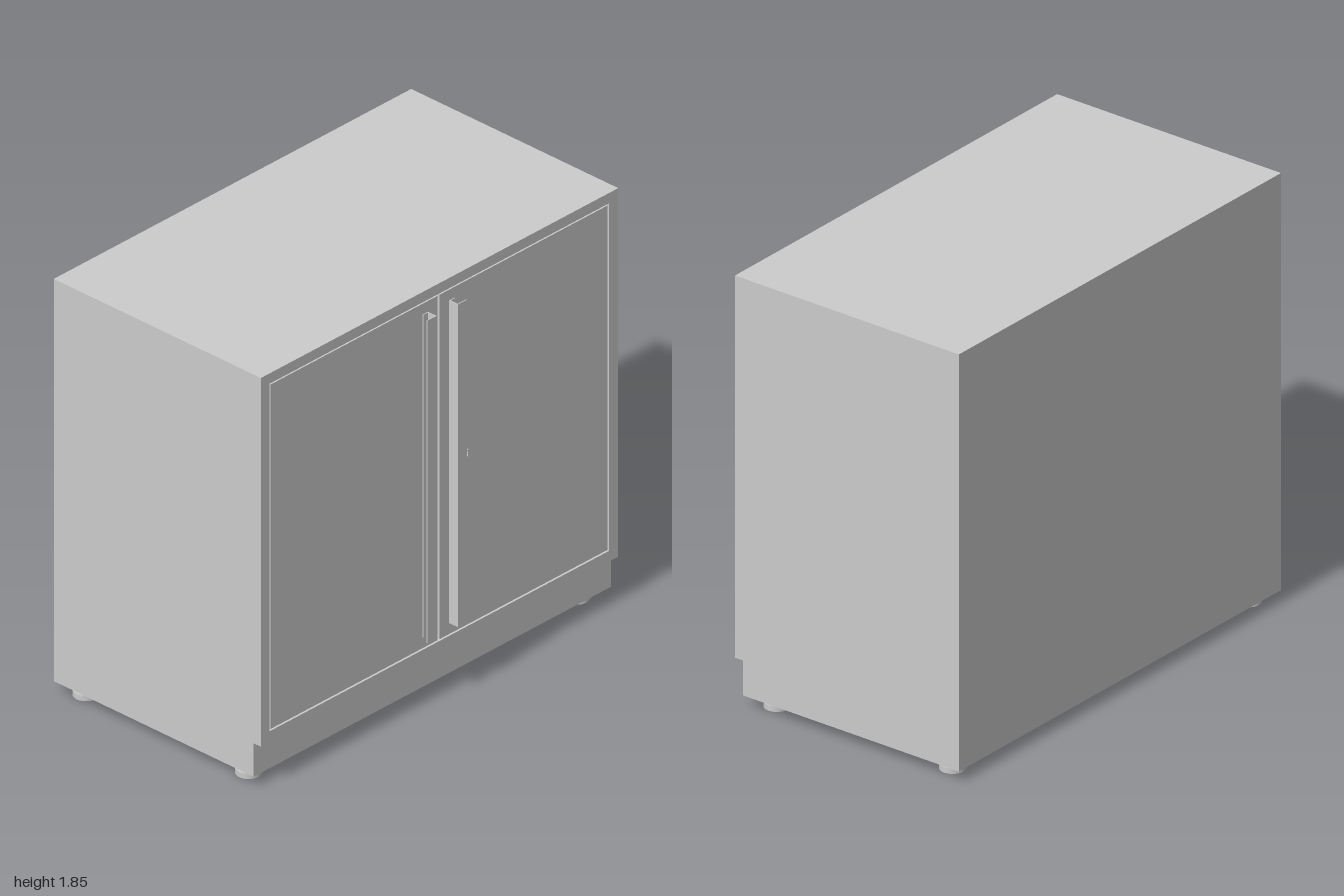
import * as THREE from 'three';

export function createModel() {
  const root = new THREE.Group();
  const mat = new THREE.MeshStandardMaterial({ color: 0xcccccc });
  const add = (name, geo, parent = root) => {
    const mesh = new THREE.Mesh(geo, mat);
    mesh.name = name;
    parent.add(mesh);
    return mesh;
  };
  // Box given by its limits on each axis
  const box = (name, [x0, x1], [y0, y1], [z0, z1], parent) => {
    const geo = new THREE.BoxGeometry(x1 - x0, y1 - y0, z1 - z0);
    geo.translate((x0 + x1) / 2, (y0 + y1) / 2, (z0 + z1) / 2);
    return add(name, geo, parent);
  };
  const polygon = (pts) => new THREE.Shape(pts.map(([x, y]) => new THREE.Vector2(x, y)));
  const extrude = (shape, depth) => new THREE.ExtrudeGeometry(shape, { depth, bevelEnabled: false });

  const H = 1.845, BASE = 0.05, STEP = 0.2, T = 0.02;
  const BACK = -0.573, FRONT = 0.527, TOE = 0.488, IN = FRONT - T;

  // Side panels, stepped back at the plinth (profile drawn in -z, y)
  for (const s of [-1, 1]) {
    const geo = extrude(polygon([
      [-BACK, BASE], [-BACK, H], [-IN, H], [-IN, STEP], [-TOE, STEP], [-TOE, BASE],
    ]), T);
    geo.rotateY(Math.PI / 2);
    geo.translate(s > 0 ? 1 - T : -1, 0, 0);
    add(s > 0 ? 'leftSide' : 'rightSide', geo);
  }

  // Remaining cabinet panels
  const inner = [-1 + T, 1 - T];
  box('topPanel', inner, [H - T, H], [BACK, IN]);
  box('backPanel', inner, [BASE + T, H - T], [BACK, BACK + T]);
  box('bottomPanel', inner, [BASE, BASE + T], [BACK, TOE]);
  box('plinth', inner, [BASE + T, STEP], [TOE - T, TOE]);
  box('cabinetFloor', inner, [STEP, STEP + T], [BACK + T, IN]);

  // Front frame around the door opening
  const frame = polygon([[-1, STEP], [1, STEP], [1, H], [-1, H]]);
  frame.holes.push(polygon([[-0.952, 0.248], [-0.952, 1.799], [0.947, 1.799], [0.947, 0.248]]));
  const frameGeo = extrude(frame, T);
  frameGeo.translate(0, 0, IN);
  add('frontFrame', frameGeo);

  // Doors, set into the frame with narrow gaps
  const doorY = [0.256, 1.793], doorZ = [IN - T, FRONT];
  box('rightDoor', [-0.946, -0.011], doorY, doorZ);
  box('leftDoor', [0.001, 0.941], doorY, doorZ);

  // Bent sheet handles: mounting flange, web and wider grip flange
  const handle = (name, x, dir) => {
    const t = 0.004, d = 0.046;
    const pts = [
      [0, 0], [0.03, 0], [0.03, t], [t, t], [t, d - t], [0.052, d - t], [0.052, d], [0, d],
    ].map(([u, v]) => [x + dir * u, -FRONT - v]);
    const geo = extrude(polygon(pts), 1.44);
    geo.rotateX(-Math.PI / 2);
    geo.translate(0, 0.305, 0);
    add(name, geo);
  };
  handle('rightHandle', -0.065, -1);
  handle('leftHandle', 0.054, 1);

  // Round lock with a recessed key slot
  const lock = new THREE.Group();
  lock.name = 'lock';
  lock.position.set(0.147, 1.025, FRONT);
  root.add(lock);
  const disc = new THREE.Shape().absarc(0, 0, 0.018, 0, Math.PI * 2);
  disc.holes.push(polygon([[-0.003, -0.011], [-0.003, 0.011], [0.003, 0.011], [0.003, -0.011]]));
  add('lockBody', new THREE.ExtrudeGeometry(disc, { depth: 0.009, bevelEnabled: false, curveSegments: 24 }), lock);

  // Levelling feet: threaded stem on a round pad
  for (const x of [-0.925, 0.911]) {
    for (const z of [-0.472, 0.391]) {
      const foot = new THREE.Group();
      foot.name = 'foot';
      foot.position.set(x, 0, z);
      add('footPad', new THREE.CylinderGeometry(0.053, 0.053, 0.024, 32), foot).position.y = 0.012;
      add('footStem', new THREE.CylinderGeometry(0.011, 0.011, 0.03, 16), foot).position.y = 0.037;
      root.add(foot);
    }
  }
  return root;
}
